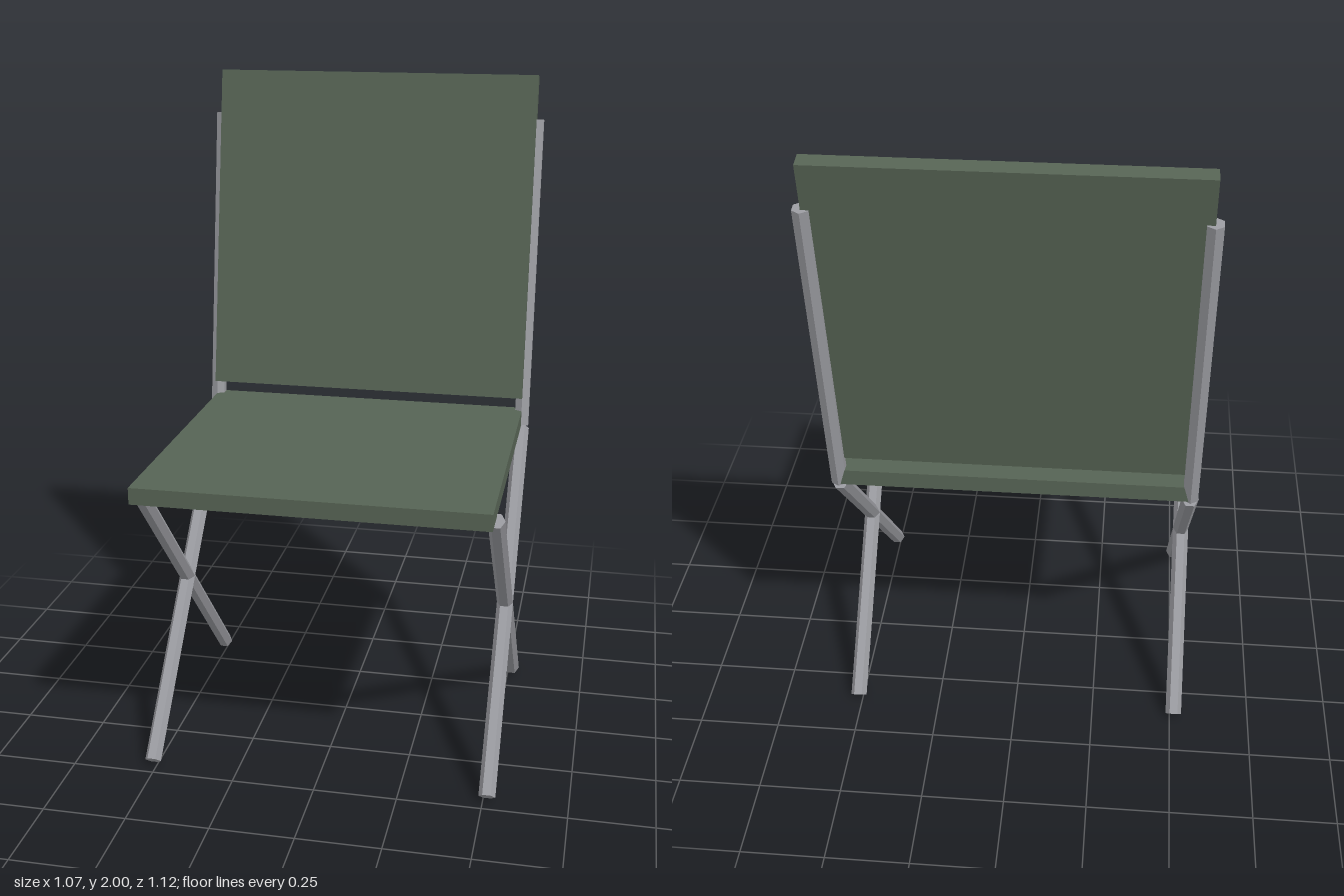
import * as THREE from 'three';

const fabric = new THREE.MeshStandardMaterial({ color: 0x566354 });
const metal = new THREE.MeshStandardMaterial({ color: 0x9a9ba0, flatShading: true });

// Six-sided tube in a side plane, from (y0, z0) up to (y1, z1)
function tube(name, x, [y0, z0], [y1, z1], turn) {
  const geo = new THREE.CylinderGeometry(0.025, 0.025, Math.hypot(y1 - y0, z1 - z0), 6);
  geo.rotateY(turn);
  const mesh = new THREE.Mesh(geo, metal);
  mesh.name = name;
  mesh.position.set(x, (y0 + y1) / 2, (z0 + z1) / 2);
  mesh.rotation.x = Math.atan2(z1 - z0, y1 - y0);
  return mesh;
}

// Flat panel tilted about x
function panel(name, w, h, d, y, z, tilt = 0) {
  const mesh = new THREE.Mesh(new THREE.BoxGeometry(w, h, d), fabric);
  mesh.name = name;
  mesh.position.set(0, y, z);
  mesh.rotation.x = tilt;
  return mesh;
}

export function createModel() {
  const chair = new THREE.Group();
  chair.name = 'chair';

  // Seat and leaning backrest
  chair.add(panel('seat', 1.024, 0.05, 0.945, 0.923, 0.0875));
  chair.add(panel('backrest', 1.024, 1.021, 0.047, 1.4935, -0.4446, -0.18));

  // Crossed legs and back post on each side
  for (const [side, x] of [['left', 0.512], ['right', -0.512]]) {
    const frame = new THREE.Group();
    frame.name = side + 'Frame';
    frame.add(
      tube('frontLeg', x, [0.016, 0.458], [0.889, -0.358], Math.PI / 6),
      tube('backLeg', x, [0.016, -0.358], [0.889, 0.458], Math.PI / 6),
      tube('backPost', x, [0.897, -0.363], [1.861, -0.526], 0)
    );
    chair.add(frame);
  }
  return chair;
}
